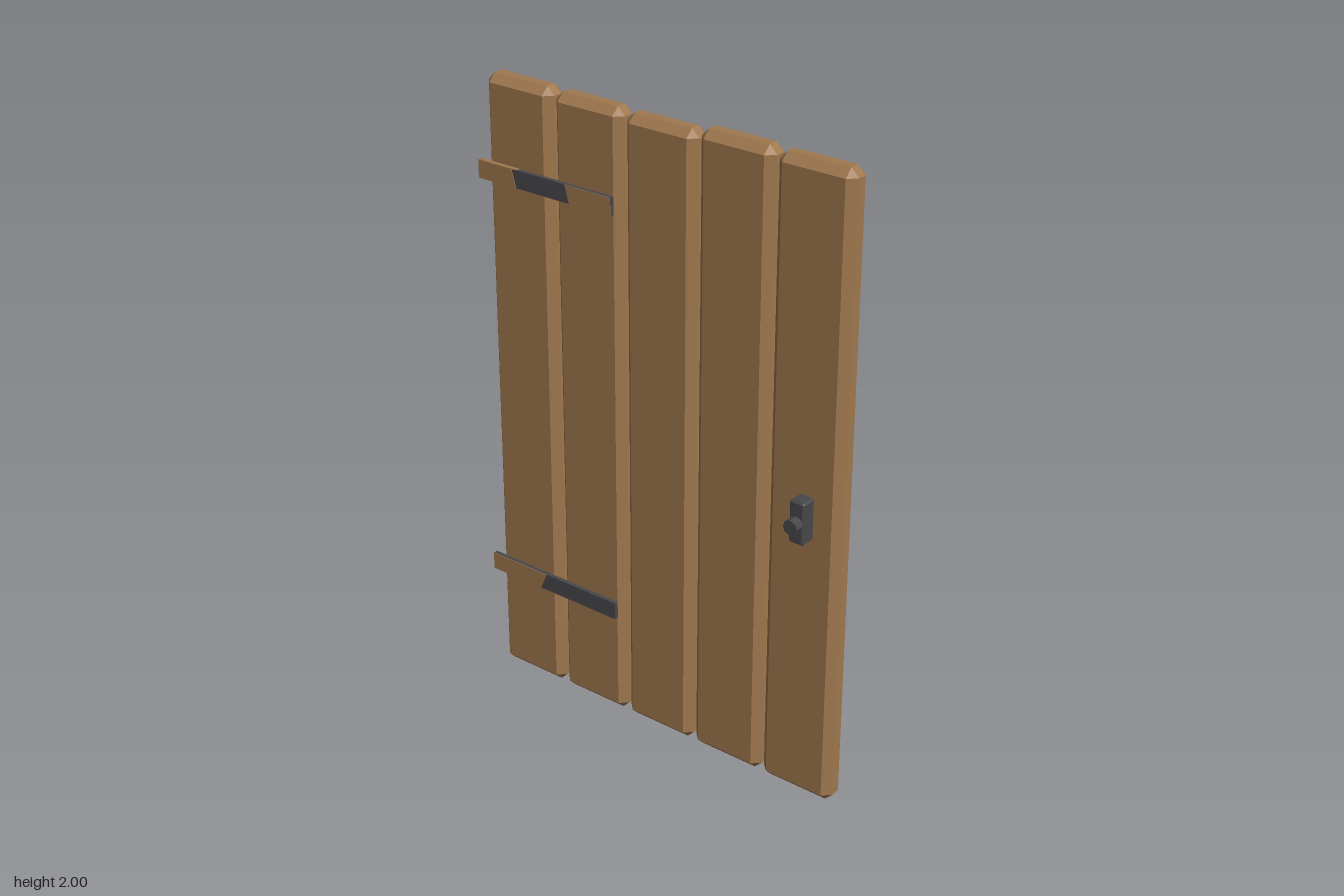
import * as THREE from 'three';
import { ConvexGeometry } from 'three/addons/geometries/ConvexGeometry.js';

const wood = new THREE.MeshStandardMaterial({ color: 0xa0784f });
wood.name = 'wood';
const iron = new THREE.MeshStandardMaterial({ color: 0x48484c });
iron.name = 'iron';

// Box with every edge and corner bevelled by c
function bevelBox(w, h, d, c) {
  const points = [];
  for (const sx of [-1, 1]) for (const sy of [-1, 1]) for (const sz of [-1, 1]) {
    for (let axis = 0; axis < 3; axis++) {
      const p = [w / 2 - c, h / 2 - c, d / 2 - c];
      p[axis] += c;
      points.push(new THREE.Vector3(p[0] * sx, p[1] * sy, p[2] * sz));
    }
  }
  return new ConvexGeometry(points);
}

export function createModel() {
  const door = new THREE.Group();
  door.name = 'plankDoor';

  function add(parent, name, geometry, material, x, y, z) {
    const mesh = new THREE.Mesh(geometry, material);
    mesh.name = name;
    mesh.position.set(x, y, z);
    parent.add(mesh);
    return mesh;
  }

  // Five upright planks of slightly different height
  [2, 1.995, 1.988, 2, 1.995].forEach((h, i) => {
    add(door, 'plank' + (i + 1), bevelBox(0.252, h, 0.08, 0.025), wood,
      -0.514 + i * 0.2605, h / 2, -0.018);
  });

  // Cross rails and diagonal brace on the back
  add(door, 'upperRail', bevelBox(1.195, 0.14, 0.042, 0.016), wood, 0.012, 1.705, -0.079);
  add(door, 'lowerRail', bevelBox(1.195, 0.138, 0.042, 0.016), wood, 0.012, 0.368, -0.079);
  const brace = add(door, 'diagonalBrace', bevelBox(1.573, 0.105, 0.046, 0.014), wood, 0.012, 1.04, -0.082);
  brace.rotation.z = Math.atan(1.109);

  // Hinge straps: iron bars with wooden-coloured facings, slanted at the joins
  function facing(xa, xb, slantA, slantB) {
    const s = new THREE.Shape();
    s.moveTo(xa + slantA, -0.028);
    s.lineTo(xb + slantB, -0.028);
    s.lineTo(xb - slantB, 0.028);
    s.lineTo(xa - slantA, 0.028);
    return new THREE.ExtrudeGeometry(s, { depth: 0.002, bevelEnabled: false });
  }
  function hinge(name, y, facings) {
    const group = new THREE.Group();
    group.name = name;
    group.position.y = y;
    add(group, 'strap', new THREE.BoxGeometry(0.505, 0.056, 0.014), iron, -0.403, 0, 0.03);
    for (const f of facings) add(group, 'strapFacing', facing(...f), wood, 0, 0, 0.037);
    door.add(group);
    return group;
  }
  const upper = hinge('upperHinge', 1.708, [[-0.655, -0.517, 0, 0.008], [-0.312, -0.151, 0.008, 0]]);
  add(upper, 'strapTopFacing', new THREE.BoxGeometry(0.15, 0.002, 0.014), wood, -0.58, 0.028, 0.03);
  hinge('lowerHinge', 0.373, [[-0.655, -0.443, 0, -0.012]]);

  // Latch plate with an eight-sided knob
  const latch = new THREE.Group();
  latch.name = 'latch';
  latch.position.set(0.545, 0.948, 0);
  add(latch, 'latchPlate', bevelBox(0.052, 0.136, 0.052, 0.006), iron, 0, 0, 0.048);
  const knobGeometry = new THREE.CylinderGeometry(0.024, 0.024, 0.034, 8).toNonIndexed();
  knobGeometry.computeVertexNormals();
  const knob = add(latch, 'knob', knobGeometry, iron, 0, -0.002, 0.087);
  knob.rotation.x = Math.PI / 2;
  door.add(latch);

  return door;
}
